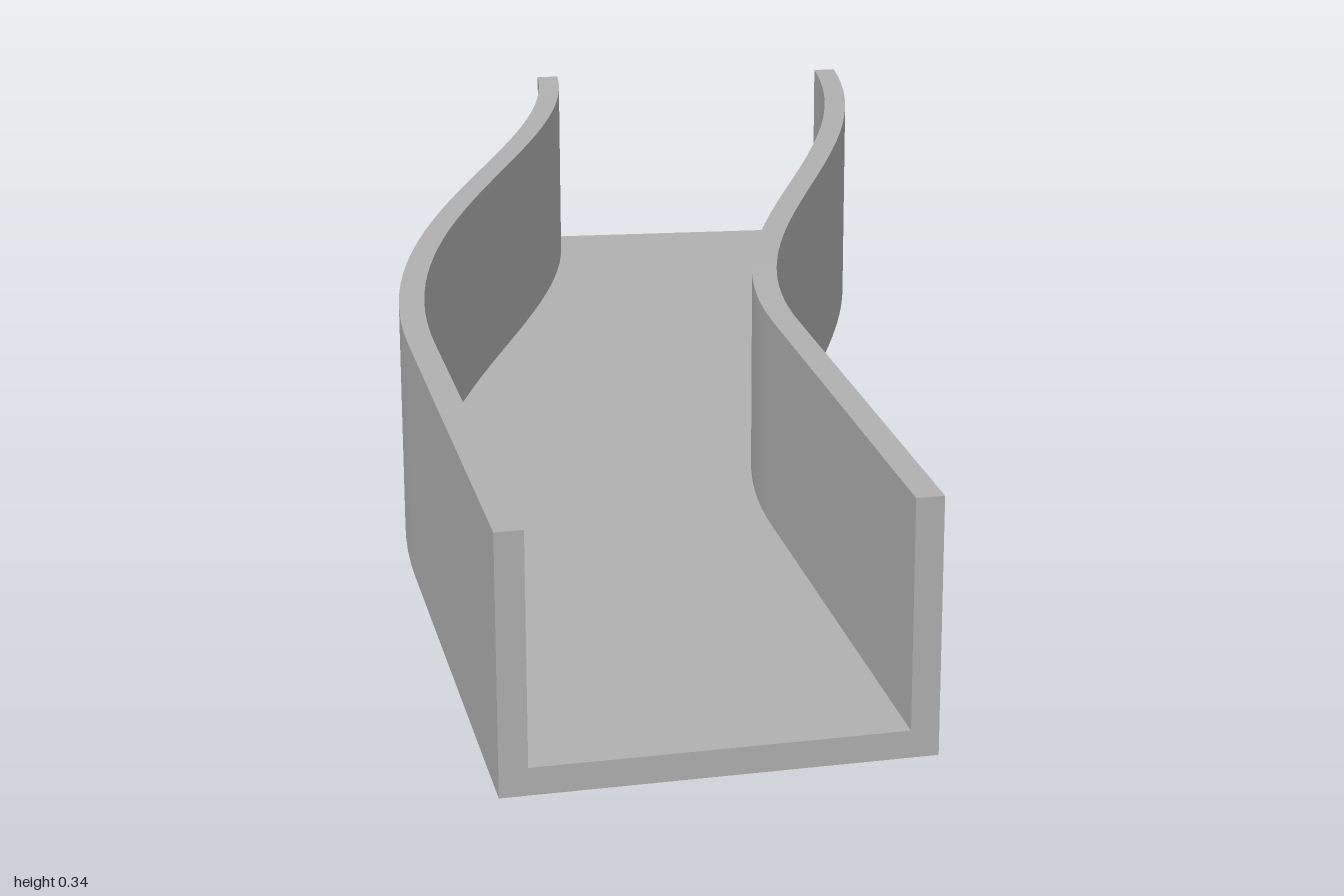
import * as THREE from 'three';

const WIDTH = 0.5, HEIGHT = 0.31, WALL = 0.033, RISE = 0.03;

// Centre line: straight run, then an S-bend, climbing evenly to the back
function makeStations() {
  const bend = new THREE.CubicBezierCurve(
    new THREE.Vector2(-0.203, 0.36), new THREE.Vector2(-0.203, -0.14),
    new THREE.Vector2(0.148, -0.475), new THREE.Vector2(0.203, -0.972));
  const stations = [{ p: new THREE.Vector2(-0.203, 1), t: new THREE.Vector2(0, -1) }];
  const steps = 40;
  for (let i = 0; i <= steps; i++) {
    stations.push({ p: bend.getPoint(i / steps), t: bend.getTangent(i / steps) });
  }
  return stations;
}

// Sweep a closed profile (counter-clockwise seen from the front) with sharp long edges
function sweep(profile, stations) {
  const positions = [], index = [];
  const place = (s, q) => positions.push(
    s.p.x - s.t.y * q.x,
    q.y + RISE * (1 - s.p.y) / 1.972,
    s.p.y + s.t.x * q.x);

  // One strip of faces for each profile edge
  profile.forEach((a, k) => {
    const b = profile[(k + 1) % profile.length];
    const base = positions.length / 3;
    stations.forEach((s, i) => {
      place(s, a);
      place(s, b);
      if (i === 0) return;
      const a1 = base + 2 * i, b1 = a1 + 1, a0 = a1 - 2, b0 = a1 - 1;
      index.push(a0, a1, b0, b0, a1, b1);
    });
  });

  // End caps
  const faces = THREE.ShapeUtils.triangulateShape(profile, []);
  [stations[0], stations[stations.length - 1]].forEach((s, end) => {
    const base = positions.length / 3;
    profile.forEach((q) => place(s, q));
    for (const [a, b, c] of faces) {
      if (end === 0) index.push(base + a, base + b, base + c);
      else index.push(base + a, base + c, base + b);
    }
  });

  const geometry = new THREE.BufferGeometry();
  geometry.setAttribute('position', new THREE.Float32BufferAttribute(positions, 3));
  geometry.setIndex(index);
  geometry.computeVertexNormals();
  return geometry;
}

export function createModel() {
  const group = new THREE.Group();
  group.name = 'curvedChannel';
  const grey = new THREE.MeshStandardMaterial({ color: 0xb0b0b0 });
  grey.name = 'light grey';

  // U-shaped cross-section: floor with two upright walls
  const o = WIDTH / 2, i = o - WALL;
  const profile = [
    [-o, 0], [o, 0], [o, HEIGHT], [i, HEIGHT],
    [i, WALL], [-i, WALL], [-i, HEIGHT], [-o, HEIGHT],
  ].map(([x, y]) => new THREE.Vector2(x, y));

  const channel = new THREE.Mesh(sweep(profile, makeStations()), grey);
  channel.name = 'channel';
  group.add(channel);
  return group;
}
